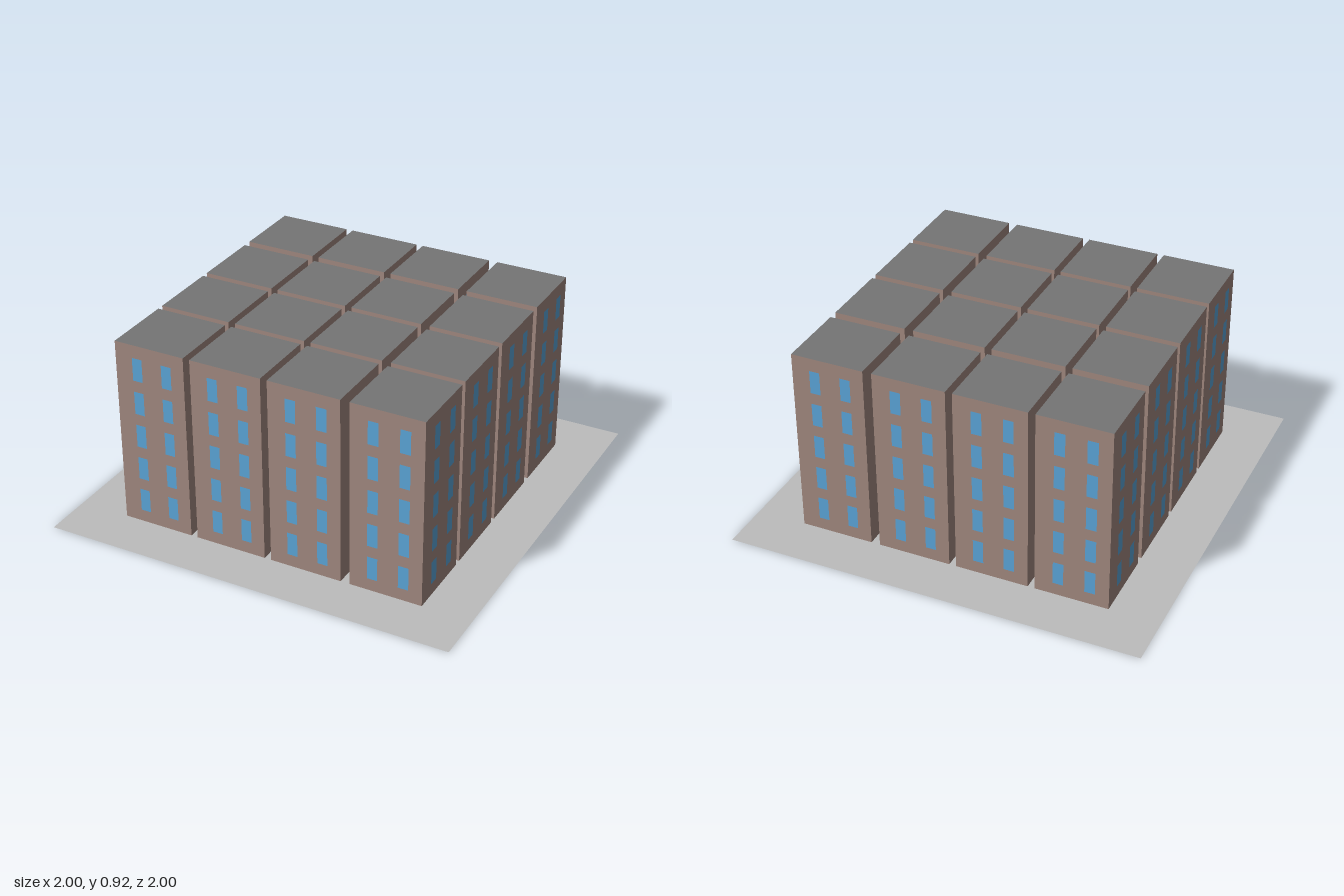
import * as THREE from 'three';

const mat = (name, color, side = THREE.FrontSide) => {
  const m = new THREE.MeshStandardMaterial({ color, side });
  m.name = name;
  return m;
};

export function createModel() {
  const wall = mat('wall', 0xa1887f);
  const roof = mat('roof', 0x757575);
  const glass = mat('windowBlue', 0x5ba5d8);
  const underside = mat('underside', 0x050505);
  const paving = mat('paving', 0xbdbdbd, THREE.DoubleSide);

  const W = 0.352, H = 0.92;
  const model = new THREE.Group();
  model.name = 'cityBlock';

  // Thin square of paving under all the buildings
  const ground = new THREE.Mesh(new THREE.PlaneGeometry(2, 2).rotateX(-Math.PI / 2), paving);
  ground.name = 'ground';
  ground.position.y = 0.002;
  model.add(ground);

  const bodyGeo = new THREE.BoxGeometry(W, H, W).translate(0, H / 2, 0);
  const bodyMats = [wall, wall, roof, underside, wall, wall];
  const windowGeo = new THREE.PlaneGeometry(0.05, 0.114);

  // One tower: walls and roof, then five floors of paired windows on each side
  function tower() {
    const group = new THREE.Group();
    const body = new THREE.Mesh(bodyGeo, bodyMats);
    body.name = 'towerBody';
    group.add(body);
    for (let side = 0; side < 4; side++) {
      const face = new THREE.Group();
      face.name = 'windowFace';
      face.rotation.y = side * Math.PI / 2;
      for (let floor = 0; floor < 5; floor++) {
        for (const x of [-0.064, 0.086]) {
          const pane = new THREE.Mesh(windowGeo, glass);
          pane.name = 'window';
          pane.position.set(x, 0.12 + floor * 0.17, W / 2 + 0.002);
          face.add(pane);
        }
      }
      group.add(face);
    }
    return group;
  }

  // Four by four towers with slightly uneven lanes
  for (const x of [-0.58, -0.195, 0.19, 0.585]) {
    for (const z of [-0.58, -0.184, 0.202, 0.586]) {
      const t = tower();
      t.name = 'tower';
      t.position.set(x, 0, z);
      model.add(t);
    }
  }
  return model;
}
